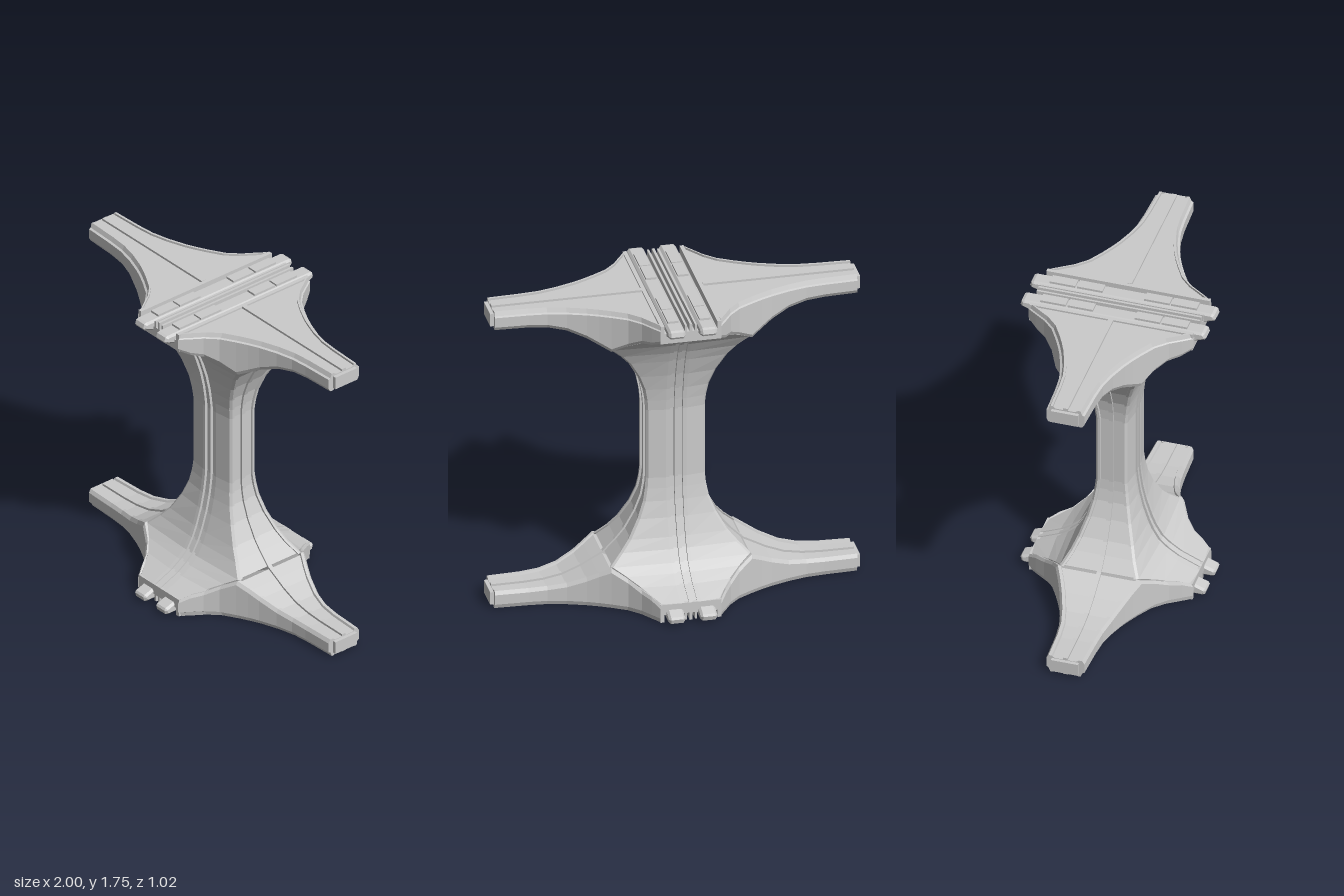
import * as THREE from 'three';

const mat = new THREE.MeshStandardMaterial({ color: 0xcccccc, flatShading: true });
const MID = 0.8775; // half of the full height; both ends are alike

function add(parent, name, geometry, x = 0, y = 0, z = 0) {
  const m = new THREE.Mesh(geometry, mat);
  m.name = name;
  m.position.set(x, y, z);
  parent.add(m);
  return m;
}

// Skin between rings that run counter-clockwise seen from the far end, with fan caps.
function loft(rings) {
  const pos = [];
  const n = rings[0].length;
  const centre = (r) => [0, 1, 2].map((k) => r.reduce((s, p) => s + p[k], 0) / n);
  const first = rings[0], last = rings[rings.length - 1];
  const c0 = centre(first), c1 = centre(last);
  for (let j = 0; j < n; j++) {
    const k = (j + 1) % n;
    for (let i = 0; i + 1 < rings.length; i++) {
      const a = rings[i][j], b = rings[i][k], c = rings[i + 1][k], d = rings[i + 1][j];
      pos.push(...a, ...b, ...c, ...a, ...c, ...d);
    }
    pos.push(...c0, ...first[k], ...first[j], ...c1, ...last[j], ...last[k]);
  }
  const g = new THREE.BufferGeometry();
  g.setAttribute('position', new THREE.Float32BufferAttribute(pos, 3));
  g.computeVertexNormals();
  return g;
}

// Half outline whose end points lie on the mirror line -> closed outline.
const closeOutline = (half) => [...half, ...half.slice(1, -1).reverse().map(([u, v]) => [-u, v])];

// Column section: grooved front and back, bevelled corners, recessed sides with a centre rib.
function columnRing([h, a, b], sign) {
  const q = [
    [0, b], [0.01, b], [0.01, b - 0.015], [0.035, b - 0.015], [0.035, b], [0.055, b],
    [a - 0.012, b - 0.013], [a, b - 0.025], [a, b - 0.038], [a - 0.012, b - 0.04],
    [a - 0.012, 0.012], [a, 0.012], [a, 0],
  ];
  const half = [...q, ...q.slice(0, -1).reverse().map(([x, z]) => [x, -z])];
  return closeOutline(half).map(([x, z]) => [x, MID + sign * h, z]);
}

// Arm section: rimmed panels and a centre rib on top, a channel below.
function armRing([x, w, B]) {
  const T = MID;
  const half = [
    [0, T], [0.014, T], [0.014, T - 0.012], [w - 0.035, T - 0.012], [w - 0.035, T], [w - 0.022, T],
    [w - 0.012, T - 0.025], [w, T - 0.03], [w, B + 0.02], [w - 0.012, B], [w - 0.03, B],
    [w - 0.034, B + 0.012], [0.012, B + 0.012], [0.012, B], [0, B],
  ];
  return closeOutline(half).map(([z, y]) => [x, y, z]);
}

function buildEnd() {
  const end = new THREE.Group();

  // Two arms flaring into the column
  const stations = [
    [0.165, 0.455, 0.772], [0.2, 0.405, 0.745], [0.24, 0.345, 0.73], [0.3, 0.285, 0.69],
    [0.38, 0.238, 0.642], [0.44, 0.207, 0.674], [0.5, 0.18, 0.707], [0.6, 0.145, 0.747],
    [0.7, 0.121, 0.765], [0.8, 0.112, 0.771], [0.98, 0.105, 0.772],
  ];
  const armGeo = loft(stations.map(armRing));
  for (const turn of [0, Math.PI]) {
    const arm = new THREE.Group();
    arm.name = 'arm';
    arm.rotation.y = turn;
    add(arm, 'armBeam', armGeo);
    add(arm, 'armTip', new THREE.BoxGeometry(0.03, 0.072, 0.15), 0.985, 0.823, 0);
    end.add(arm);
  }

  // Deck between the arms
  add(end, 'deck', new THREE.BoxGeometry(0.33, 0.06, 0.9), 0, 0.802, 0);

  // Rail with chamfered nose at both ends
  const nose = [[0.44, -0.065], [0.505, -0.042], [0.512, -0.03], [0.505, -0.006], [0.49, 0]];
  const outline = [...nose, ...nose.slice().reverse().map(([u, v]) => [-u, v])];
  const railGeo = new THREE.ExtrudeGeometry(
    new THREE.Shape(outline.map(([u, v]) => new THREE.Vector2(u, v))),
    { depth: 0.066, bevelThickness: 0.012, bevelSize: 0.012, bevelOffset: -0.012, bevelSegments: 1 },
  );
  railGeo.translate(0, 0, -0.033).rotateY(Math.PI / 2);

  for (const s of [-1, 1]) {
    add(end, 'rail', railGeo, s * 0.086, MID - 0.012, 0);
    add(end, 'deckEdge', new THREE.BoxGeometry(0.022, 0.1, 0.9), s * 0.154, 0.825, 0);
    add(end, 'centreStrip', new THREE.BoxGeometry(0.012, 0.05, 0.9), s * 0.027, 0.845, 0);
    // Blocks fixed on the rails
    for (const z of [-0.335, -0.185, 0.185, 0.335]) {
      add(end, 'railBlock', new THREE.BoxGeometry(0.058, 0.02, 0.14), s * 0.086, MID - 0.01, z);
    }
  }
  add(end, 'centreRib', new THREE.BoxGeometry(0.014, 0.05, 0.9), 0, 0.85, 0);
  return end;
}

export function createModel() {
  const model = new THREE.Group();
  model.name = 'columnWithArms';

  // Column: [height from the middle, half width, half depth]
  const profile = [
    [0.2, 0.16, 0.1], [0.26, 0.165, 0.106], [0.33, 0.178, 0.116], [0.42, 0.212, 0.136],
    [0.52, 0.268, 0.168], [0.58, 0.318, 0.193], [0.6425, 0.38, 0.23], [0.6825, 0.315, 0.275],
    [0.7225, 0.25, 0.335], [0.772, 0.168, 0.45],
  ];
  const rings = [
    ...profile.slice().reverse().map((p) => columnRing(p, -1)),
    ...profile.map((p) => columnRing(p, 1)),
  ];
  add(model, 'column', loft(rings));

  // The same end at top and bottom, turned over for the bottom
  for (const [name, turn] of [['topEnd', 0], ['bottomEnd', Math.PI]]) {
    const end = buildEnd();
    end.name = name;
    end.position.y = MID;
    end.rotation.x = turn;
    model.add(end);
  }
  return model;
}
